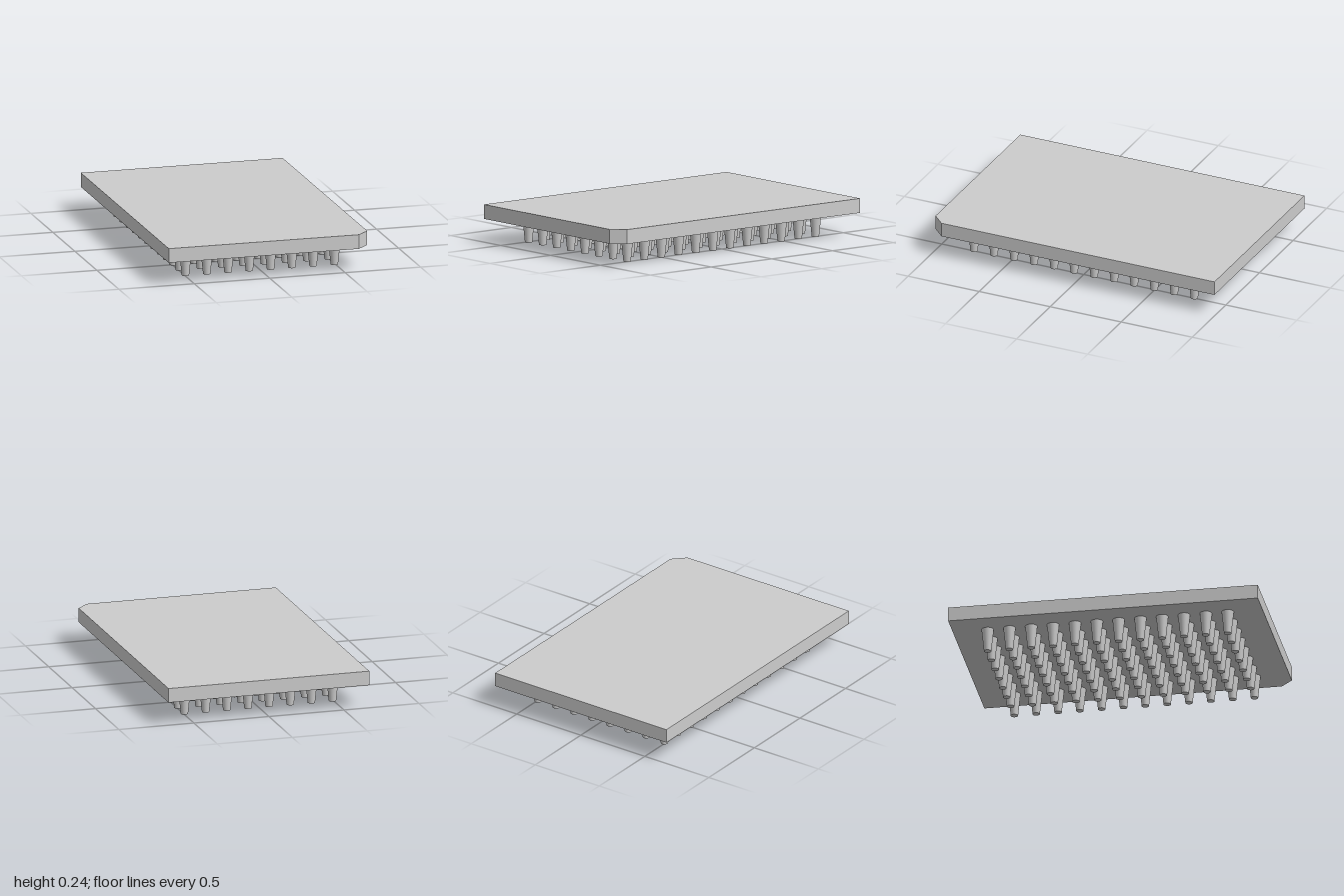
import * as THREE from 'three';

const PLATE_BOTTOM = 0.15, PLATE_TOP = 0.243;
const HALF_W = 0.669, HALF_L = 1, CHAMFER = 0.078;
const PITCH = 0.141, COLUMNS = 8, ROWS = 12;

export function createModel() {
  const model = new THREE.Group();
  model.name = 'wellPlate';

  const grey = new THREE.MeshStandardMaterial({ color: 0xcccccc });
  grey.name = 'light grey plastic';

  // Flat slab with one cut corner at the front left
  const outline = new THREE.Shape([
    new THREE.Vector2(-HALF_W, -HALF_L),
    new THREE.Vector2(HALF_W - CHAMFER, -HALF_L),
    new THREE.Vector2(HALF_W, -HALF_L + CHAMFER),
    new THREE.Vector2(HALF_W, HALF_L),
    new THREE.Vector2(-HALF_W, HALF_L),
  ]);
  const slabGeometry = new THREE.ExtrudeGeometry(outline, {
    depth: PLATE_TOP - PLATE_BOTTOM,
    bevelEnabled: false,
  });
  slabGeometry.rotateX(-Math.PI / 2);
  const slab = new THREE.Mesh(slabGeometry, grey);
  slab.name = 'slab';
  slab.position.y = PLATE_BOTTOM;
  model.add(slab);

  // Grid of tapered wells hanging under the slab
  const wells = new THREE.Group();
  wells.name = 'wells';
  const wellGeometry = new THREE.CylinderGeometry(0.039, 0.0235, PLATE_BOTTOM, 32);
  for (let row = 0; row < ROWS; row++) {
    for (let column = 0; column < COLUMNS; column++) {
      const well = new THREE.Mesh(wellGeometry, grey);
      well.name = `well_${row + 1}_${column + 1}`;
      well.position.set(
        (column - (COLUMNS - 1) / 2) * PITCH,
        PLATE_BOTTOM / 2,
        (row - (ROWS - 1) / 2) * PITCH
      );
      wells.add(well);
    }
  }
  model.add(wells);

  return model;
}
